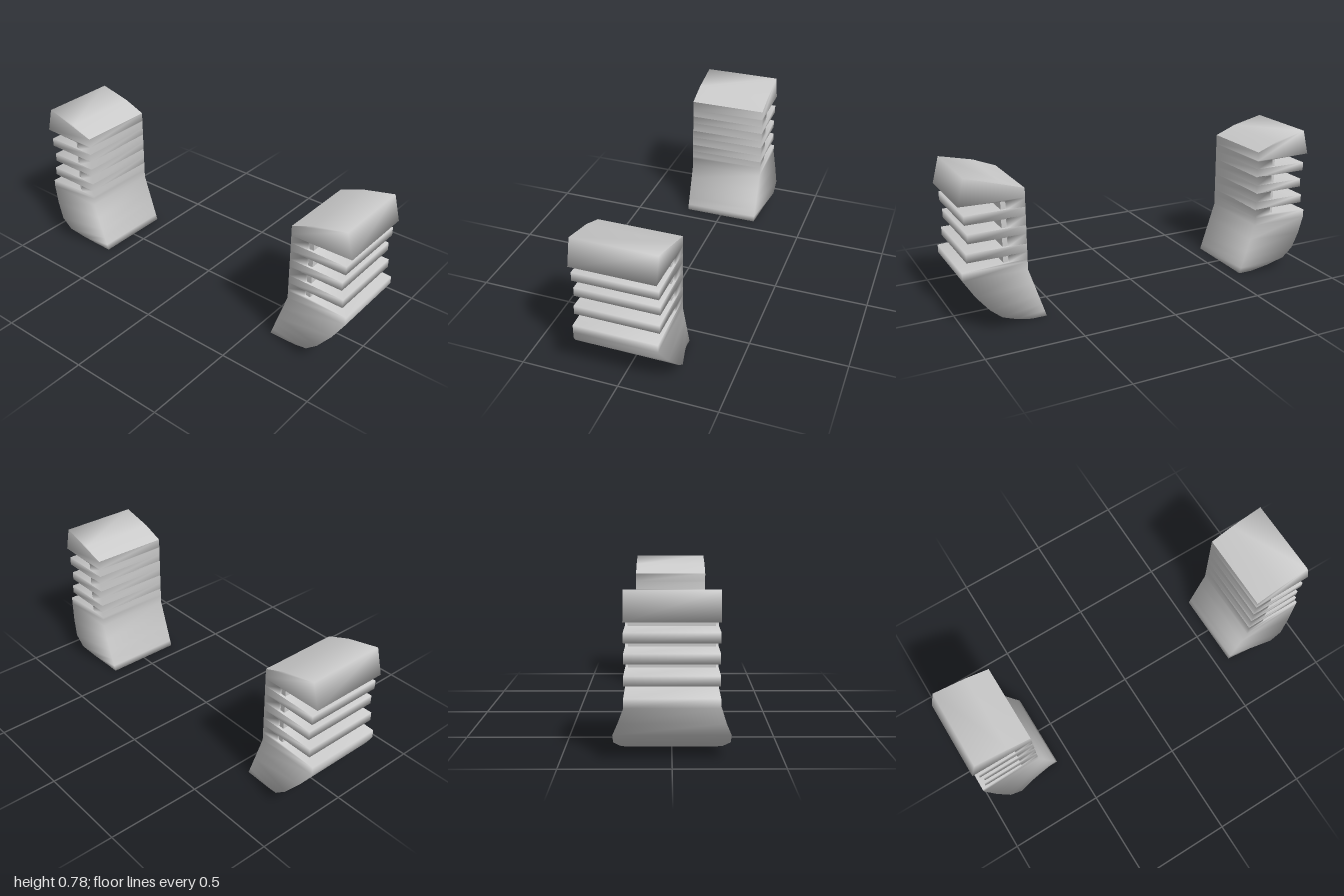
import * as THREE from 'three';

const HALF = 0.21; // half depth of the straight upper part

// Outer edge from bottom to top: x, y, half depth
function outerEdge() {
  const edge = [
    [0.66, 0, HALF], [0.75, 0.03, 0.236], [0.83, 0.07, 0.265], [0.89, 0.12, 0.265],
    [0.95, 0.19, 0.238], [1, 0.27, HALF], [1, 0.312, HALF], [0.765, 0.325, HALF],
  ];
  // Three ribs with slots between them
  [[0.36, 0.975], [0.455, 0.963], [0.549, 0.975]].forEach(([y, x]) => {
    edge.push([0.765, y + 0.003, HALF], [x, y, HALF], [x, y + 0.046, HALF], [0.765, y + 0.046, HALF]);
  });
  edge.push([0.765, 0.638, HALF], [1, 0.643, HALF], [0.965, 0.777, HALF], [0.79, 0.737, HALF]);
  return edge;
}

// Loft of four-cornered sections joining the inner face to the outer edge
function bodyGeometry() {
  const positions = [], index = [];
  const edge = outerEdge();
  edge.forEach(([x, y, w]) => {
    const iy = Math.min(y, 0.69);
    const ix = Math.min(0.58 + iy / 3, 0.67);
    positions.push(ix, iy, HALF, ix, iy, -HALF, x, y, -w, x, y, w);
  });
  const quad = (a, b, c, d) => index.push(a, b, c, a, c, d);
  for (let r = 0; r < edge.length - 1; r++) {
    for (let j = 0; j < 4; j++) {
      const k = (j + 1) % 4, lo = r * 4, hi = lo + 4;
      quad(lo + k, lo + j, hi + j, hi + k);
    }
  }
  const top = (edge.length - 1) * 4;
  quad(0, 1, 2, 3);
  quad(top + 3, top + 2, top + 1, top);
  const geometry = new THREE.BufferGeometry();
  geometry.setAttribute('position', new THREE.Float32BufferAttribute(positions, 3));
  geometry.setIndex(index);
  geometry.computeVertexNormals();
  return geometry;
}

export function createModel() {
  const model = new THREE.Group();
  const material = new THREE.MeshStandardMaterial({ color: 0xcccccc });
  const body = bodyGeometry();
  const core = new THREE.BoxGeometry(0.09, 0.34, 0.394);

  // The two pieces are the same, turned half a revolution
  ['left', 'right'].forEach((side, i) => {
    const piece = new THREE.Group();
    piece.name = side + 'Piece';
    piece.rotation.y = i * Math.PI;

    const ribbedBody = new THREE.Mesh(body, material);
    ribbedBody.name = 'ribbedBody';

    // Narrower core behind the slots
    const slotCore = new THREE.Mesh(core, material);
    slotCore.name = 'slotCore';
    slotCore.position.set(0.745, 0.482, 0);

    piece.add(ribbedBody, slotCore);
    model.add(piece);
  });
  return model;
}
